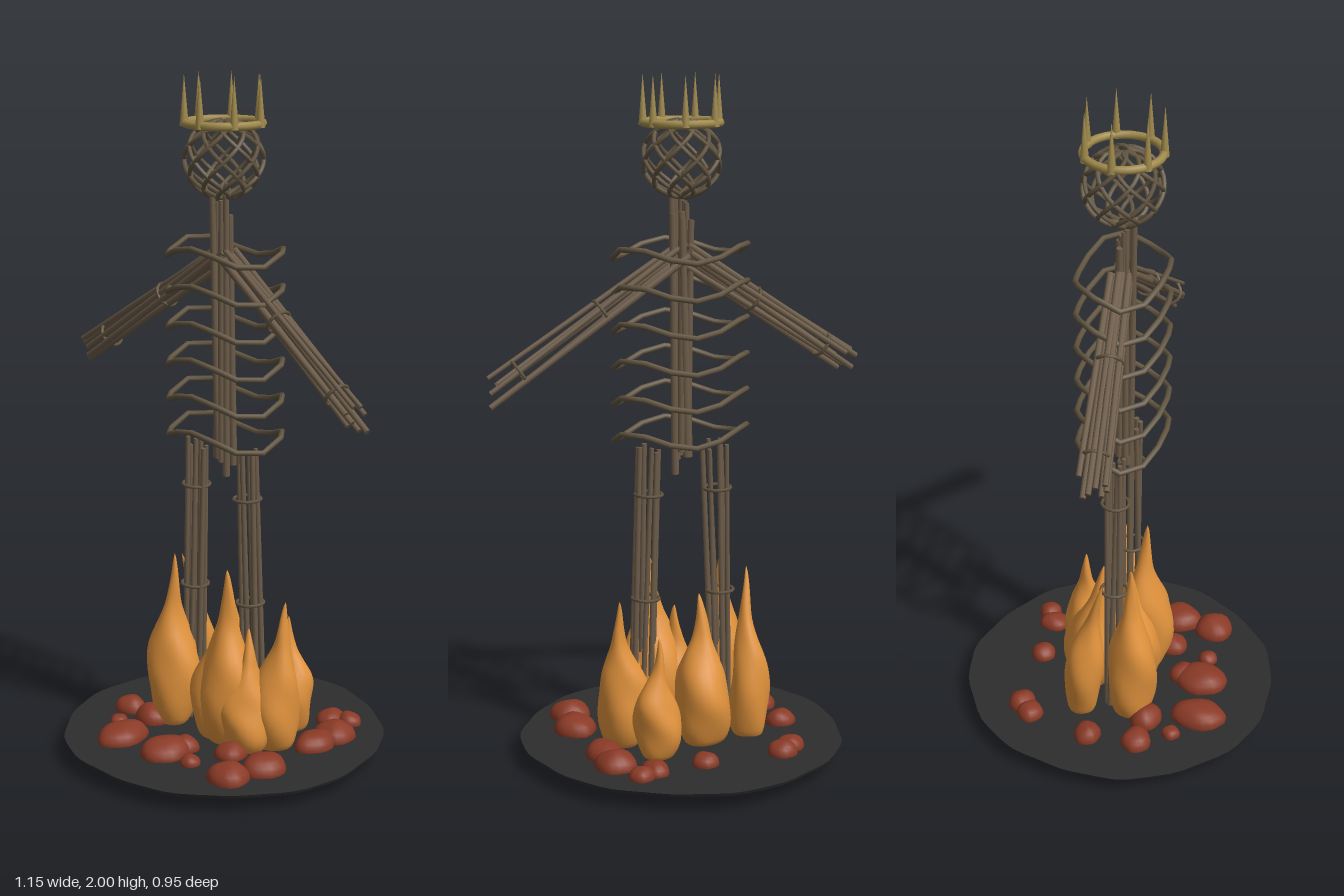
import * as THREE from 'three';
import { mergeVertices } from 'three/addons/utils/BufferGeometryUtils.js';

const V = (x, y, z) => new THREE.Vector3(x, y, z);
const UP = V(0, 1, 0);
const CX = -0.016; // axis of the figure

function material(name, color) {
  const m = new THREE.MeshStandardMaterial({ color });
  m.name = name;
  return m;
}

export function createModel() {
  const wood = material('stick brown', 0x6e5d4a);
  const willow = material('willow brown', 0x625541);
  const gold = material('dull gold', 0xa08a4c);
  const fire = material('flame orange', 0xe0923c);
  const ember = material('ember red', 0x8a3a26);
  const ash = material('ash black', 0x2d2d2e);

  const model = new THREE.Group();
  model.name = 'burningWickerFigure';

  let seed = 11;
  const rand = () => {
    seed = (seed * 16807) % 2147483647;
    return seed / 2147483647;
  };
  const jitter = (s) => (rand() * 2 - 1) * s;

  function add(parent, name, geometry, mat) {
    const mesh = new THREE.Mesh(geometry, mat);
    mesh.name = name;
    parent.add(mesh);
    return mesh;
  }
  function group(name) {
    const g = new THREE.Group();
    g.name = name;
    model.add(g);
    return g;
  }
  function stick(parent, a, b, r) {
    const d = b.clone().sub(a);
    const mesh = add(parent, 'stick', new THREE.CylinderGeometry(r * 0.8, r, d.length(), 7), wood);
    mesh.position.copy(a).addScaledVector(d, 0.5);
    mesh.quaternion.setFromUnitVectors(UP, d.normalize());
  }
  // Ring of willow tied round a bundle
  function tie(parent, centre, dir, r) {
    const mesh = add(parent, 'tie', new THREE.TorusGeometry(r, 0.005, 6, 14), willow);
    mesh.position.copy(centre);
    mesh.quaternion.setFromUnitVectors(V(0, 0, 1), dir);
  }
  // Loose bundle of sticks from a to b with ties at the given fractions
  function bundle(name, a, b, { count, startSpread, endSpread, slip, radius, ties = [], tieRadius = 0.04 }) {
    const g = group(name);
    const dir = b.clone().sub(a).normalize();
    const side = V(0, 0, 1);
    const across = dir.clone().cross(side).normalize();
    for (let i = 0; i < count; i++) {
      const t = (i / count) * Math.PI * 2 + 0.4;
      const end = (p, s, shift) => p.clone()
        .addScaledVector(across, Math.cos(t) * s + jitter(s * 0.4))
        .addScaledVector(side, Math.sin(t) * s + jitter(s * 0.4))
        .addScaledVector(dir, shift);
      stick(g, end(a, startSpread, rand() * slip), end(b, endSpread, -rand() * slip), radius * (0.85 + rand() * 0.3));
    }
    for (const t of ties) tie(g, a.clone().lerp(b, t), dir, tieRadius);
  }
  // Rounds off a lumpy form: moves every vertex by a rule, then smooths it
  function reshape(geometry, rule) {
    geometry.deleteAttribute('uv');
    geometry.deleteAttribute('normal');
    const p = geometry.attributes.position;
    const v = V(0, 0, 0);
    for (let i = 0; i < p.count; i++) {
      rule(v.fromBufferAttribute(p, i));
      p.setXYZ(i, v.x, v.y, v.z);
    }
    const merged = mergeVertices(geometry, 1e-5);
    merged.computeVertexNormals();
    return merged;
  }

  // Ash bed
  add(model, 'ashBed', new THREE.CylinderGeometry(0.475, 0.47, 0.01, 72), ash);
  const bed = model.children[0];
  bed.geometry = reshape(bed.geometry, (v) => {
    const a = Math.atan2(v.z, v.x);
    const k = 1 + 0.009 * Math.sin(3 * a + 1) + 0.008 * Math.sin(7 * a) + 0.005 * Math.sin(17 * a + 2);
    v.set(v.x * k, v.y, v.z * k);
  }).toNonIndexed();
  bed.geometry.computeVertexNormals();
  bed.position.set(-0.016, 0.053, -0.004);

  // Embers: x, z, half width, half depth
  const embers = group('embers');
  [
    [-0.225, -0.27, 0.045, 0.042], [-0.265, -0.235, 0.042, 0.04], [0.015, -0.265, 0.04, 0.038],
    [0.17, -0.27, 0.04, 0.048], [0.22, -0.295, 0.038, 0.035], [0.26, -0.19, 0.062, 0.062],
    [0.265, -0.1, 0.052, 0.07], [-0.32, -0.04, 0.046, 0.04], [-0.315, 0.11, 0.05, 0.045],
    [-0.21, 0.115, 0.056, 0.05], [-0.26, 0.205, 0.028, 0.028], [-0.165, 0.27, 0.062, 0.085],
    [0, 0.25, 0.068, 0.08], [0.015, 0.19, 0.045, 0.045], [0.105, 0.25, 0.03, 0.03],
    [0.145, 0.125, 0.046, 0.05], [0.255, 0.24, 0.062, 0.06], [0.28, 0.125, 0.062, 0.07],
  ].forEach(([x, z, rx, rz]) => {
    const h = Math.min(0.046, rx * 0.8);
    add(embers, 'ember', reshape(new THREE.SphereGeometry(1, 18, 12), (v) => {
      const k = 1 + 0.06 * Math.sin(v.x * 4 + x * 30) * Math.cos(v.z * 4 + z * 30);
      v.set(x + v.x * rx * k, Math.max(0.05, 0.062 + v.y * h * k), z + v.z * rz * k);
    }), ember);
  });

  // Flames: base x, base z, radius, tip x, tip y, tip z
  const flames = group('flames');
  const profile = [[0, 0], [0.6, 0.0], [0.88, 0.1], [1, 0.24], [0.97, 0.36], [0.82, 0.48],
    [0.54, 0.6], [0.33, 0.7], [0.22, 0.8], [0.13, 0.9], [0.06, 0.97], [0, 1]];
  const curve = new THREE.SplineCurve(profile.map(([r, y]) => new THREE.Vector2(r, y)));
  const smooth = curve.getPoints(36).map((p) => new THREE.Vector2(Math.max(0, p.x), p.y));
  [
    [-0.17, 0.065, 0.078, -0.165, 0.585, 0.06], [-0.195, -0.085, 0.06, -0.215, 0.555, -0.015],
    [-0.05, -0.09, 0.085, -0.05, 0.5, -0.05], [0.06, 0.045, 0.09, 0.06, 0.59, 0.06],
    [0.18, -0.02, 0.074, 0.195, 0.5, -0.045], [0.12, -0.15, 0.066, 0.11, 0.41, -0.145],
    [-0.005, 0.04, 0.082, 0, 0.45, 0.02], [0.13, 0.05, 0.08, 0.12, 0.42, 0.03],
  ].forEach(([x, z, r, tx, ty, tz], i) => {
    add(flames, 'flame', reshape(new THREE.LatheGeometry(smooth, 22), (v) => {
      const t = v.y;
      const a = Math.atan2(v.z, v.x);
      const k = r * (1 + 0.07 * Math.sin(2 * a + t * 7 + i) + 0.04 * Math.sin(3 * a - t * 13 + i * 2));
      const sway = 0.008 * Math.sin(t * 8 + i * 2) * t * (1 - t) * 4;
      v.set(x + (tx - x) * t * t + sway + v.x * k, 0.055 + t * (ty - 0.055), z + (tz - z) * t * t + v.z * k);
    }), fire);
  });

  // Spine, legs and arms
  bundle('spine', V(-0.018, 0.85, 0.002), V(-0.018, 1.67, 0.008), {
    count: 9, startSpread: 0.022, endSpread: 0.022, slip: 0.09, radius: 0.011,
  });
  const leg = { count: 7, startSpread: 0.024, endSpread: 0.03, slip: 0.03, radius: 0.009, ties: [0.515, 0.845], tieRadius: 0.04 };
  bundle('rightLeg', V(-0.152, 0.0, 0), V(-0.125, 0.945, 0.005), leg);
  bundle('leftLeg', V(0.115, 0.0, 0), V(0.08, 0.945, 0.005), leg);
  const arm = { count: 8, startSpread: 0.025, endSpread: 0.03, slip: 0.06, radius: 0.01, ties: [0.42, 0.82], tieRadius: 0.036 };
  bundle('rightArm', V(0.0, 1.51, -0.005), V(-0.575, 1.13, 0.04), arm);
  bundle('leftArm', V(-0.03, 1.51, 0.0), V(0.565, 1.105, 0.042), arm);

  // Wavy rib hoops
  const ribs = group('ribs');
  for (let i = 0; i < 6; i++) {
    const points = [];
    for (let j = 0; j < 28; j++) {
      const a = Math.PI / 2 + (j / 28) * Math.PI * 2;
      points.push(V(-0.012 + 0.2 * Math.cos(a), 1.503 - i * 0.1055 - 0.022 * Math.sin(3 * a), 0.128 * Math.sin(a)));
    }
    add(ribs, 'rib', new THREE.TubeGeometry(new THREE.CatmullRomCurve3(points, true), 14, 0.0085, 7, true), willow);
  }

  // Woven head: strands spiralling both ways from pole to pole
  const head = group('head');
  for (let i = 0; i < 16; i++) {
    const turn = i % 2 ? 1 : -1;
    const points = [];
    for (let j = 0; j <= 16; j++) {
      const th = 0.12 + (j / 16) * (Math.PI - 0.24);
      const phi = Math.floor(i / 2) * Math.PI / 4 + turn * th;
      points.push(V(CX + 0.111 * Math.sin(th) * Math.cos(phi), 1.763 + 0.108 * Math.cos(th), 0.111 * Math.sin(th) * Math.sin(phi)));
    }
    add(head, 'strand', new THREE.TubeGeometry(new THREE.CatmullRomCurve3(points), 20, 0.0065, 6), willow);
  }

  // Crown
  const crown = group('crown');
  const band = add(crown, 'crownBand', new THREE.TorusGeometry(0.108, 0.012, 8, 28), gold);
  band.rotation.x = Math.PI / 2;
  band.position.set(CX, 1.863, 0);
  for (let i = 0; i < 7; i++) {
    const a = 1.4 + (i / 7) * Math.PI * 2;
    const spike = add(crown, 'crownSpike', new THREE.ConeGeometry(0.013, 0.145, 8), gold);
    spike.position.set(CX + 0.11 * Math.cos(a), 1.9275, 0.11 * Math.sin(a));
  }
  return model;
}
